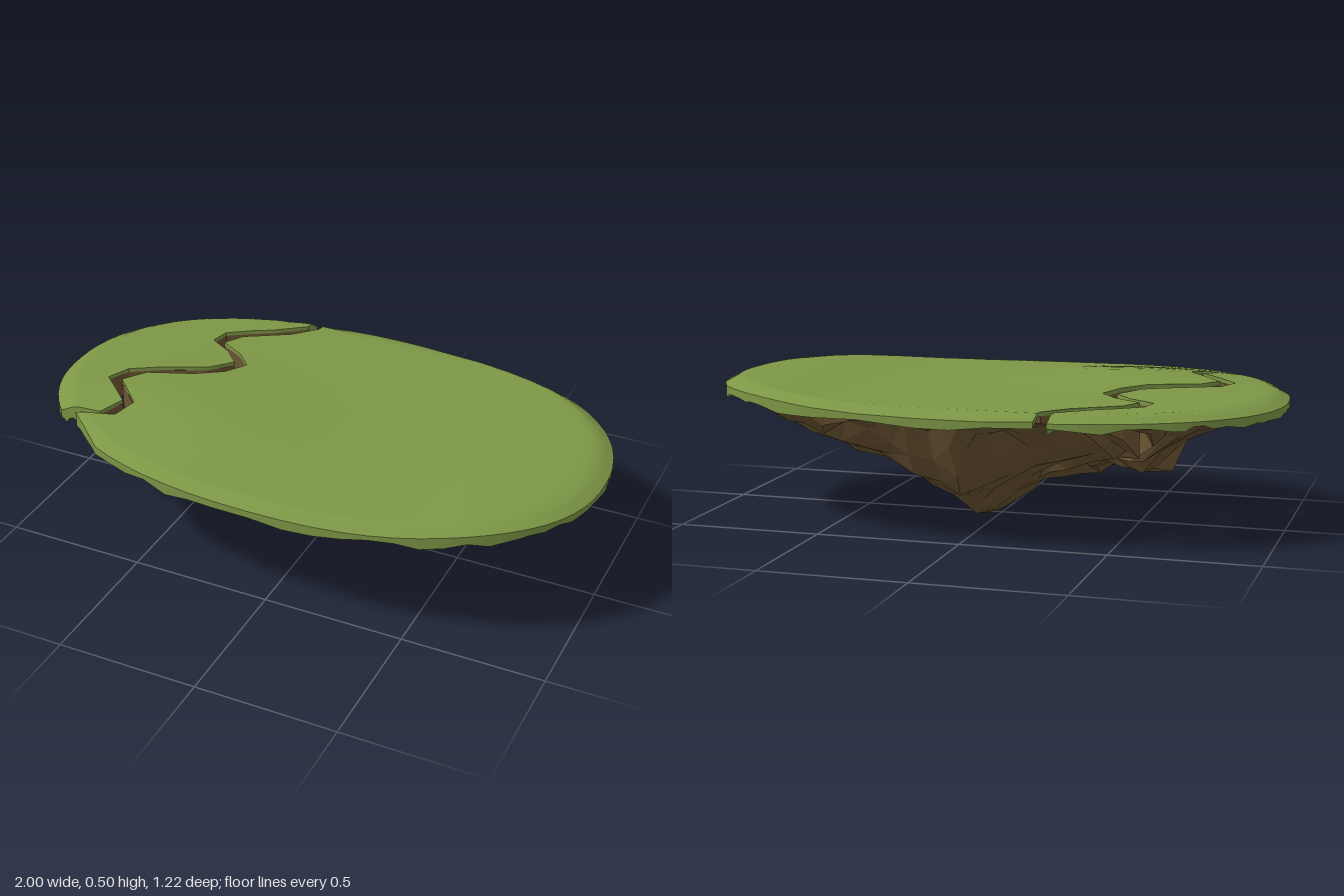
import * as THREE from 'three';
import { toCreasedNormals } from 'three/addons/utils/BufferGeometryUtils.js';

const DEPTH = 0.612, POWER = 2.25, ROCK_SCALE = 0.94;

// Zigzag crack: [z, x on the small piece, x on the large piece]
const CRACK = [
  [-0.59, -0.32, -0.275], [-0.53, -0.33, -0.285], [-0.45, -0.435, -0.36],
  [-0.41, -0.505, -0.425], [-0.355, -0.585, -0.515], [-0.285, -0.60, -0.555],
  [-0.23, -0.51, -0.46], [-0.165, -0.45, -0.40], [-0.08, -0.515, -0.445],
  [-0.012, -0.66, -0.53], [0.05, -0.765, -0.69], [0.13, -0.80, -0.745],
  [0.26, -0.665, -0.62], [0.347, -0.705, -0.645], [0.37, -0.72, -0.79],
];

// Underside silhouettes: [x, y] along the length, [z, depth share] across
const LENGTHWISE = [
  [-0.95, 0.43], [-0.9, 0.39], [-0.75, 0.36], [-0.64, 0.28], [-0.57, 0.16], [-0.5, 0.165],
  [-0.44, 0.19], [-0.3, 0.155], [-0.2, 0.15], [-0.1, 0.08], [0.03, -0.05], [0.15, 0.03],
  [0.27, 0.1], [0.4, 0.19], [0.5, 0.21], [0.62, 0.215], [0.73, 0.28], [0.85, 0.36], [0.95, 0.43],
];
const CROSSWISE = [
  [-0.56, 0], [-0.5, 0.04], [-0.42, 0.18], [-0.37, 0.44], [-0.29, 0.65], [-0.2, 0.68],
  [-0.14, 0.83], [-0.07, 0.94], [0, 0.9], [0.07, 1], [0.15, 0.78], [0.22, 0.73],
  [0.3, 0.57], [0.36, 0.32], [0.42, 0.14], [0.5, 0.03], [0.56, 0],
];

// Piecewise linear lookup
function lookup(table, v, column = 1) {
  if (v <= table[0][0]) return table[0][column];
  for (let i = 1; i < table.length; i++) {
    const a = table[i - 1], b = table[i];
    if (v <= b[0]) return THREE.MathUtils.lerp(a[column], b[column], (v - a[0]) / (b[0] - a[0]));
  }
  return table[table.length - 1][column];
}

// Repeatable noise from -0.5 to 0.5
function noise(a, b) {
  const s = Math.sin(a * 127.1 + b * 311.7) * 43758.5453;
  return s - Math.floor(s) - 0.5;
}

const rimRadius = (x, z) =>
  Math.pow(Math.pow(Math.abs(x), POWER) + Math.pow(Math.abs(z / DEPTH), POWER), 1 / POWER);

// Half width of the oval outline at z, for an outline of the given scale
const halfWidth = (z, scale) =>
  scale * Math.pow(Math.max(0, 1 - Math.pow(Math.abs(z / (DEPTH * scale)), POWER)), 1 / POWER);

// Gently rolling lawn that rounds off at the rim
function lawnHeight(x, z) {
  const hill = 0.035 * Math.exp(-(((x + 0.45) / 0.38) ** 2) - ((z - 0.2) / 0.28) ** 2);
  const rise = 0.02 * Math.exp(-(((x - 0.8) / 0.3) ** 2));
  const edge = THREE.MathUtils.smoothstep(rimRadius(x, z), 0.94, 1.01);
  return 0.464 + hill + rise - 0.012 * z * z - 0.028 * edge;
}

function rockHeight(x, z) {
  const across = z / Math.max(0.25, halfWidth(x * DEPTH, 1));
  return 0.43 - (0.43 - lookup(LENGTHWISE, x)) * lookup(CROSSWISE, across);
}

// Rows across z, keeping every corner of the crack
function makeRows(count, scale, gap, zStart, zEnd) {
  const corners = CRACK.map((c) => c[0]).filter((z) => z > -DEPTH * scale);
  const rows = [...corners];
  for (let i = 0; i <= count; i++) {
    const z = -DEPTH * scale * Math.cos((Math.PI * i) / count);
    if (corners.every((c) => Math.abs(c - z) > gap)) rows.push(z);
  }
  return rows.filter((z) => z >= zStart && z <= zEnd).sort((a, b) => a - b);
}

// Left and right limits of a piece at z
function span(small, z, scale) {
  const w = halfWidth(z, scale);
  if (small) return [-w, Math.max(-w, lookup(CRACK, z, 1))];
  // Beyond the crack the rim starts with a straight chamfer
  const chamfer = 1.2 * (z - 0.363 * scale) - 0.8 * scale;
  return [Math.max(-w, z > 0.37 ? chamfer : lookup(CRACK, z, 2)), w];
}

// Sheet over a piece, with extra border rings beyond its edge.
// place(x, z, ring, onEdge) returns the point; ring 0 is the sheet itself.
function makeSheet(small, rows, cols, scale, rings, flip, place) {
  const grid = [];
  const last = rows.length - 1;
  for (let i = -rings; i <= last + rings; i++) {
    const line = [];
    const ci = THREE.MathUtils.clamp(i, 0, last);
    const [x0, x1] = span(small, rows[ci], scale);
    for (let j = -rings; j <= cols + rings; j++) {
      const cj = THREE.MathUtils.clamp(j, 0, cols);
      const ring = Math.max(Math.abs(i - ci), Math.abs(j - cj));
      const t = 0.5 * (cj / cols) + 0.5 * (0.5 - 0.5 * Math.cos((Math.PI * cj) / cols));
      const onEdge = ci === 0 || ci === last || cj === 0 || cj === cols;
      line.push(place(x0 + (x1 - x0) * t, rows[ci], ring, onEdge));
    }
    grid.push(line);
  }
  const positions = [];
  const tri = new THREE.Triangle();
  const add = (a, b, c) => {
    if (tri.set(a, b, c).getArea() < 1e-7) return;
    for (const p of flip ? [a, c, b] : [a, b, c]) positions.push(p.x, p.y, p.z);
  };
  for (let i = 0; i < grid.length - 1; i++) {
    for (let j = 0; j < grid[i].length - 1; j++) {
      const a = grid[i][j], b = grid[i + 1][j], c = grid[i + 1][j + 1], d = grid[i][j + 1];
      add(a, b, c);
      add(a, c, d);
    }
  }
  const geometry = new THREE.BufferGeometry();
  geometry.setAttribute('position', new THREE.Float32BufferAttribute(positions, 3));
  geometry.computeVertexNormals();
  return geometry;
}

// Grass: lawn, ragged hanging lip, then an underside tucked in towards the piece's middle
function grassPoint(small, x, z, ring) {
  const y = lawnHeight(x, z);
  if (ring === 0) return new THREE.Vector3(x, y, z);
  if (rimRadius(x, z) < 0.94) return new THREE.Vector3(x, y - 0.014, z);
  if (ring === 1) {
    const sag = 0.025 * (z / DEPTH) ** 2 + 0.02 * THREE.MathUtils.smoothstep(-x, 0.7, 0.95);
    return new THREE.Vector3(x, 0.43 - sag + 0.025 * noise(x, z), z);
  }
  const cx = small ? -0.72 : 0;
  const cz = small ? -0.1 : x < -0.55 && z > 0 ? 0.45 : 0;
  const inset = small ? 0.14 : 0.08;
  return new THREE.Vector3(x + (cx - x) * inset, 0.437, z + (cz - z) * inset);
}

// Rock: jagged underside, with walls rising to the grass
function rockPoint(x, z, ring, onEdge) {
  if (ring > 0) return new THREE.Vector3(x, lawnHeight(x, z) - 0.014, z);
  const rough = onEdge ? 0.01 : 0.045 * THREE.MathUtils.smoothstep(rimRadius(x, z), 0.05, 0.3);
  const y = rockHeight(x, z) + rough * noise(z, x + 3);
  const shift = onEdge ? 0 : 0.03;
  return new THREE.Vector3(
    x + shift * noise(x, z + 1), THREE.MathUtils.clamp(y, 0, 0.435), z + 0.7 * shift * noise(x + 2, z));
}

export function createModel() {
  const model = new THREE.Group();
  model.name = 'floatingIsland';
  const grass = new THREE.MeshStandardMaterial({ color: 0x7d9746, side: THREE.DoubleSide });
  const rock = new THREE.MeshStandardMaterial({
    color: 0x6c5532, flatShading: true, side: THREE.DoubleSide });

  for (const small of [false, true]) {
    const piece = new THREE.Group();
    piece.name = small ? 'brokenOffPiece' : 'mainPiece';
    // The small piece only exists between the two mouths of the crack
    const rows = (count, scale, gap) =>
      makeRows(count, scale, gap, small ? -0.5901 * scale : -1, small ? 0.35 : 1);

    const lawn = makeSheet(small, rows(36, 1, 0.015), small ? 12 : 32, 1, 2, false,
      (x, z, ring) => grassPoint(small, x, z, ring));
    const lawnMesh = new THREE.Mesh(toCreasedNormals(lawn, 0.6), grass);
    lawnMesh.name = 'grassTop';

    const base = makeSheet(small, rows(14, ROCK_SCALE, 0.035), small ? 5 : 20,
      ROCK_SCALE, 1, true, rockPoint);
    const baseMesh = new THREE.Mesh(base, rock);
    baseMesh.name = 'rockUnderside';

    piece.add(lawnMesh, baseMesh);
    model.add(piece);
  }
  return model;
}
